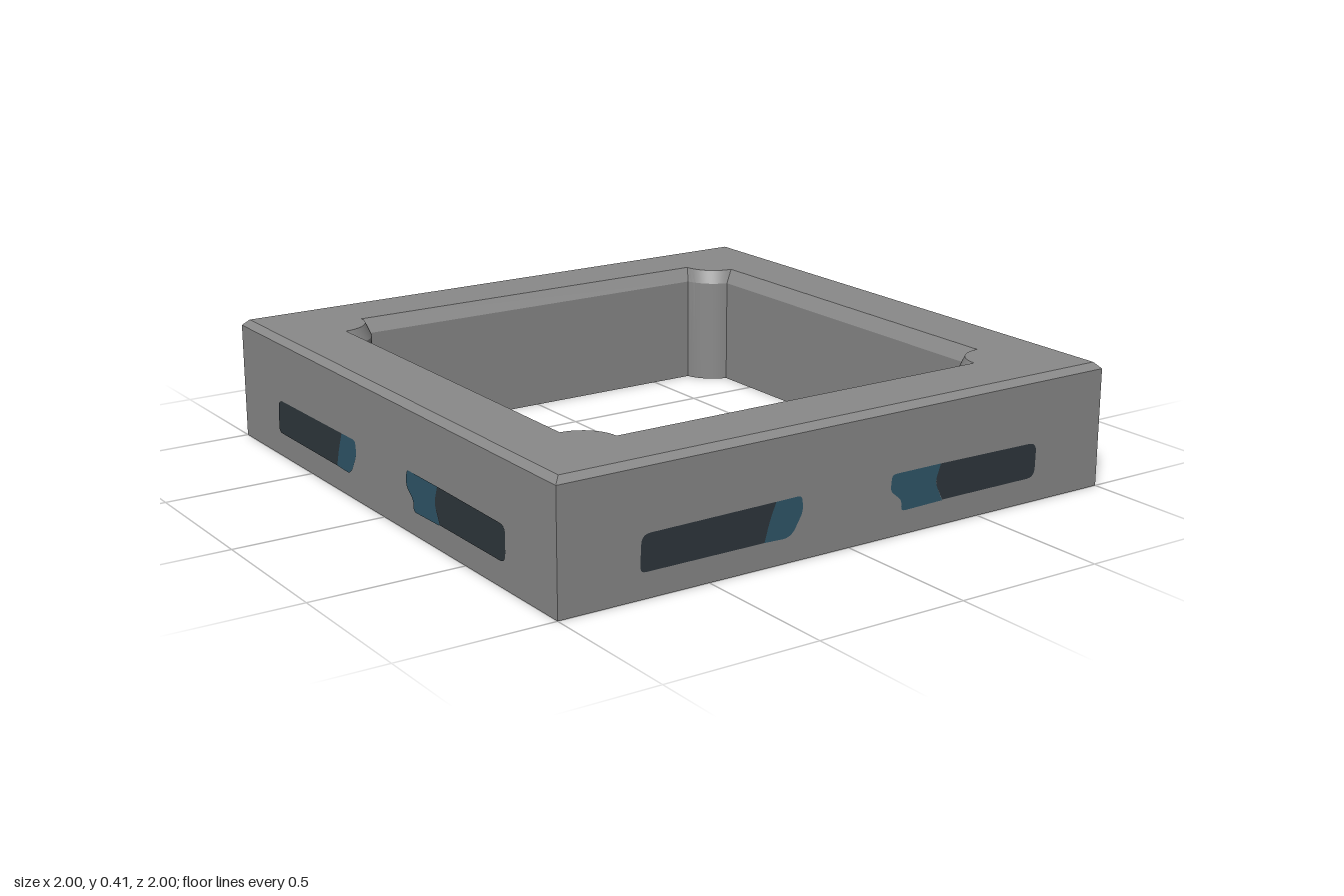
import * as THREE from 'three';
import { toCreasedNormals } from 'three/addons/utils/BufferGeometryUtils.js';

const grey = new THREE.MeshStandardMaterial({ color: 0x8a8a8a });
grey.name = 'stone grey';
const dark = new THREE.MeshStandardMaterial({ color: 0x2e373d });
dark.name = 'dark slate';
const teal = new THREE.MeshStandardMaterial({ color: 0x30576a });
teal.name = 'deep teal';

const TOP = 0.405, CORNER = 0.78;

// Outlines are lists of Vector2 (x, -z), counter-clockwise seen from above
const square = h => [[-h, -h], [h, -h], [h, h], [-h, h]].map(p => new THREE.Vector2(...p));

// Opening with a round column bulging in at every corner
function opening(w, r) {
  const pts = [], skew = Math.asin((CORNER - w) / r), n = 10;
  for (let k = 0; k < 4; k++) {
    for (let i = 0; i <= n; i++) {
      const a = -Math.PI / 2 - skew - (i / n) * (Math.PI / 2 - 2 * skew);
      const p = new THREE.Vector2(CORNER + r * Math.cos(a), CORNER + r * Math.sin(a));
      pts.push(p.rotateAround(new THREE.Vector2(), k * Math.PI / 2));
    }
  }
  return pts;
}

const circle = (x, y, r) => Array.from({ length: 12 }, (_, i) =>
  new THREE.Vector2(x + r * Math.cos(i * Math.PI / 6), y + r * Math.sin(i * Math.PI / 6)));

// Wall through stacked outlines, given as [outline, height] from the bottom up
function loft(rings, inward = false) {
  const pos = [];
  for (let k = 0; k + 1 < rings.length; k++) {
    const [lo, y0] = rings[k], [hi, y1] = rings[k + 1];
    lo.forEach((p, i) => {
      const j = (i + 1) % lo.length;
      const a = [p.x, y0, -p.y], b = [lo[j].x, y0, -lo[j].y];
      const c = [hi[j].x, y1, -hi[j].y], d = [hi[i].x, y1, -hi[i].y];
      pos.push(...(inward ? [a, c, b, a, d, c] : [a, b, c, a, c, d]).flat());
    });
  }
  const g = new THREE.BufferGeometry();
  g.setAttribute('position', new THREE.Float32BufferAttribute(pos, 3));
  return toCreasedNormals(g, 0.4);
}

function flat(outline, holes = []) {
  const s = new THREE.Shape(outline);
  s.holes = holes.map(h => new THREE.Path(h));
  return new THREE.ShapeGeometry(s);
}

function add(parent, name, geometry, material) {
  const m = new THREE.Mesh(geometry, material);
  m.name = name;
  parent.add(m);
  return m;
}

// Panel outline with softly rounded corners
function panel(points, r = 0.02) {
  const s = new THREE.Shape(), v = points.map(p => new THREE.Vector2(...p));
  v.forEach((p, i) => {
    const prev = v.at(i - 1), next = v[(i + 1) % v.length];
    const rr = points[i][2] ?? r;
    const a = p.clone().add(prev.clone().sub(p).setLength(rr));
    const b = p.clone().add(next.clone().sub(p).setLength(rr));
    i ? s.lineTo(a.x, a.y) : s.moveTo(a.x, a.y);
    s.quadraticCurveTo(p.x, p.y, b.x, b.y);
  });
  return new THREE.ShapeGeometry(s, 5);
}

export function createModel() {
  const model = new THREE.Group();
  model.name = 'squareFrame';

  // Frame body
  const upper = opening(CORNER, 0.115), lower = opening(0.75, 0.135);
  add(model, 'outerWall', loft([[square(1), 0], [square(1), 0.385], [square(0.98), TOP]]), grey);
  add(model, 'innerWall', loft([[lower, 0], [lower, 0.36], [upper, TOP]], true), grey);
  add(model, 'topFace', flat(square(0.98), [upper]).rotateX(-Math.PI / 2).translate(0, TOP, 0), grey);

  // Underside with four small blind holes: x, z, radius
  const bores = [[-0.89, -0.135, 0.02], [0.89, -0.135, 0.014], [-0.89, 0.87, 0.014], [0.89, 0.87, 0.018]];
  const cuts = bores.map(b => circle(...b));
  add(model, 'underside', flat(square(1), [lower, ...cuts]).rotateX(Math.PI / 2), grey);
  for (const [x, z, r] of bores) {
    const ring = circle(x, -z, r);
    add(model, 'boreWall', loft([[ring, 0], [ring, 0.05]], true), dark);
    add(model, 'boreEnd', flat(circle(x, z, r)).rotateX(Math.PI / 2).translate(0, 0.05, 0), dark);
  }

  // Inlaid panels, the same on all four sides
  const inlays = [
    ['leftDarkInlay', dark, [[-0.735, 0.08], [-0.31, 0.08, 0.001], [-0.293, 0.14, 0.02], [-0.27, 0.196, 0.001], [-0.73, 0.192, 0.03]]],
    ['leftTealInlay', teal, [[-0.31, 0.08, 0.001], [-0.215, 0.077, 0.03], [-0.172, 0.15, 0.02], [-0.178, 0.197, 0.015], [-0.27, 0.196, 0.001], [-0.293, 0.14, 0.02]]],
    ['rightTealInlay', teal, [[0.195, 0.075, 0.015], [0.355, 0.078, 0.001], [0.325, 0.14, 0.02], [0.345, 0.196, 0.001], [0.157, 0.196, 0.015], [0.152, 0.145, 0.015], [0.195, 0.11, 0.012]]],
    ['rightDarkInlay', dark, [[0.355, 0.08, 0.001], [0.73, 0.08, 0.03], [0.733, 0.192, 0.03], [0.345, 0.196, 0.001], [0.325, 0.14, 0.02]]],
  ];
  for (let k = 0; k < 4; k++) {
    const side = new THREE.Group();
    side.name = ['front', 'left', 'back', 'right'][k] + 'Inlays';
    side.rotation.y = k * Math.PI / 2;
    for (const [name, material, points] of inlays) {
      add(side, name, panel(points), material).position.z = 1.002;
    }
    model.add(side);
  }
  return model;
}
